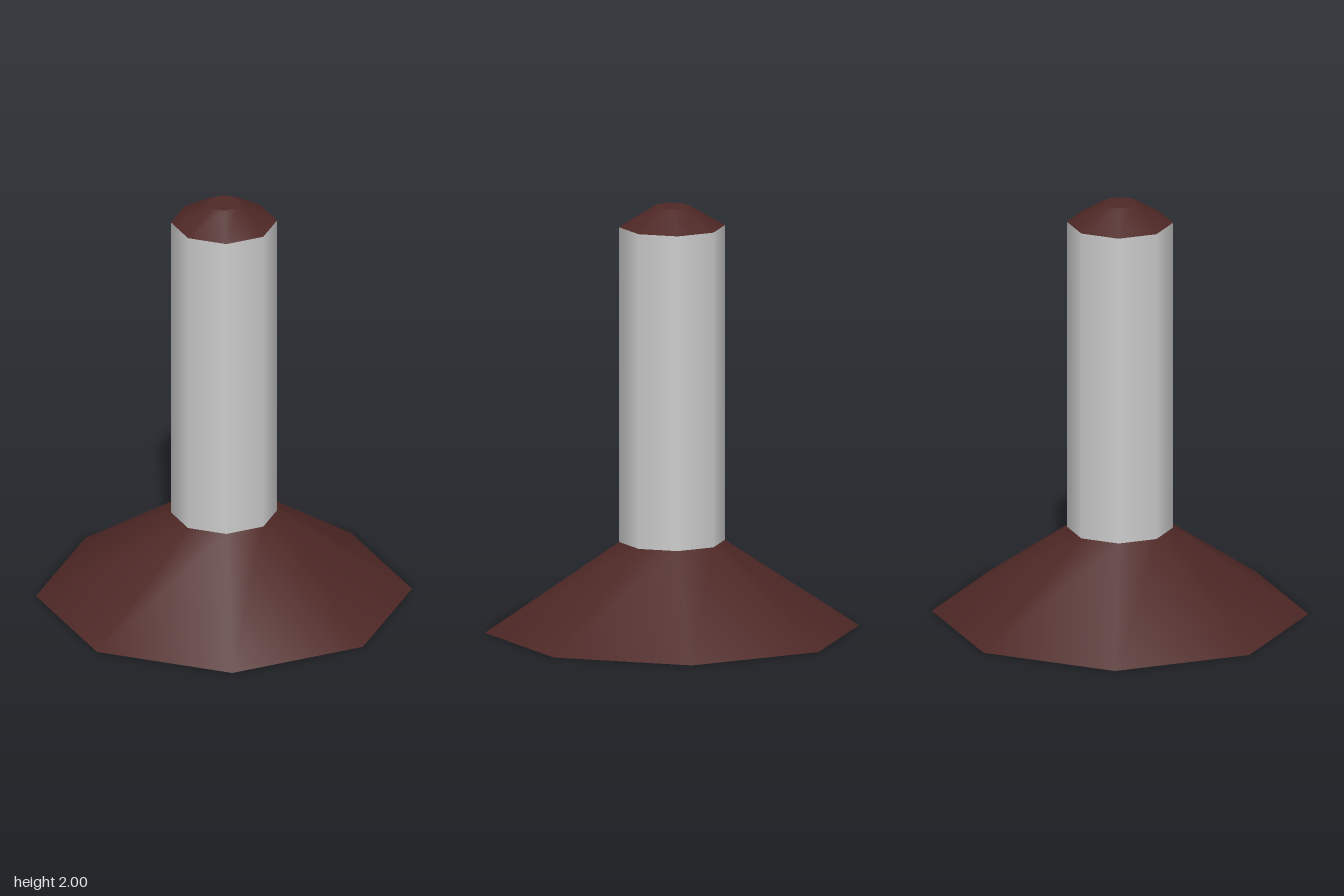
import * as THREE from 'three';

const SIDES = 8;

export function createModel() {
  const model = new THREE.Group();
  model.name = 'flaredPost';

  const grey = new THREE.MeshStandardMaterial({ color: 0xcccccc });
  const brown = new THREE.MeshStandardMaterial({ color: 0x4d2725 });

  // One eight-sided section between two heights
  const addSection = (name, rBottom, rTop, y0, y1, material, open = false) => {
    const geometry = new THREE.CylinderGeometry(rTop, rBottom, y1 - y0, SIDES, 1, open);
    const mesh = new THREE.Mesh(geometry, material);
    mesh.name = name;
    mesh.position.y = (y0 + y1) / 2;
    model.add(mesh);
  };

  // Wide sloping foot with a flat underside
  addSection('base', 0.873, 0.247, 0, 0.417, brown);
  // Straight shaft, closed off by the base and cap
  addSection('shaft', 0.247, 0.247, 0.417, 1.905, grey, true);
  // Bevelled cap with a small flat top
  addSection('cap', 0.247, 0.085, 1.905, 2, brown);

  return model;
}
